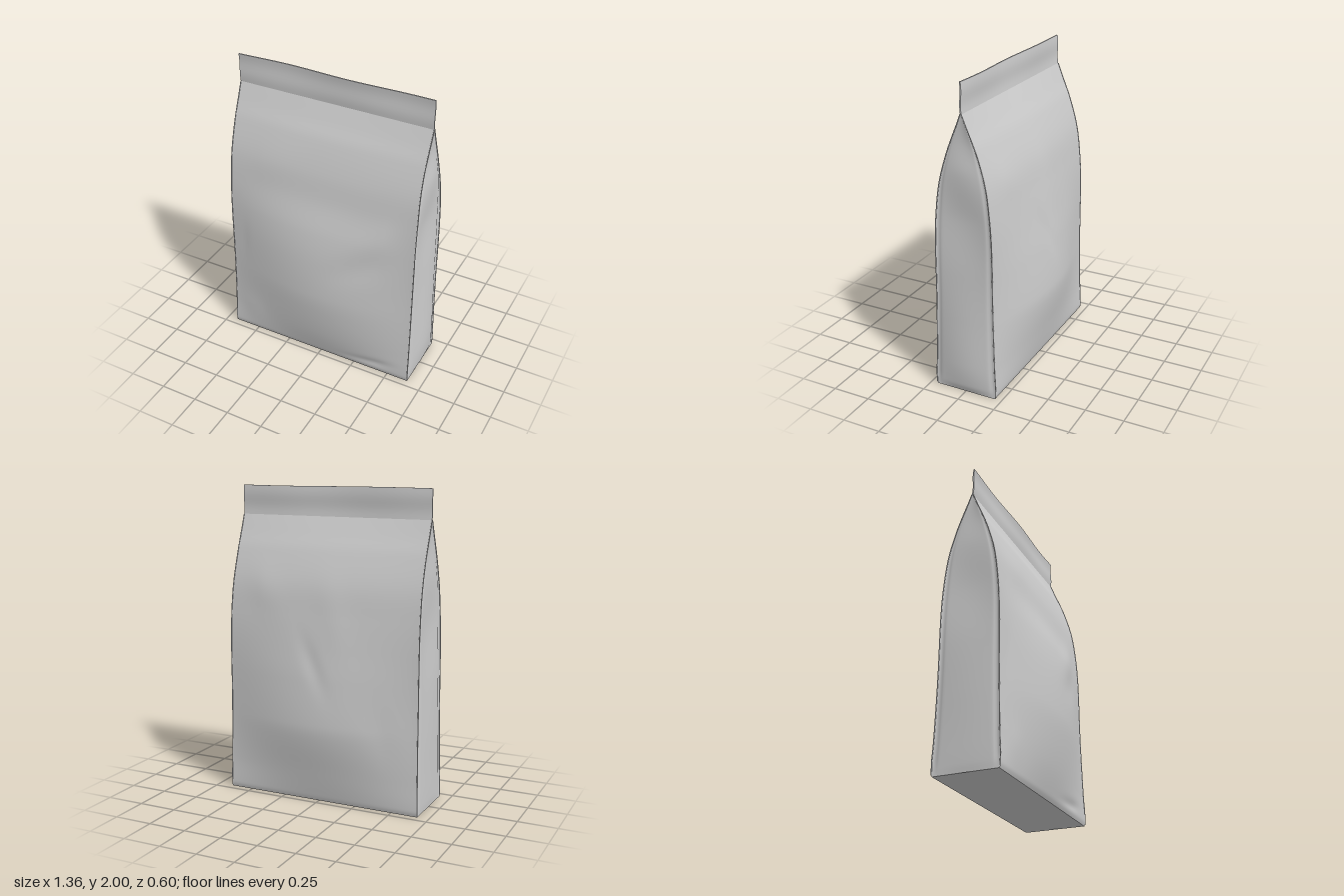
import * as THREE from 'three';

const material = new THREE.MeshStandardMaterial({ color: 0xcccccc, side: THREE.DoubleSide });
const SEAL_Y = 1.81;

// Smooth curve through [y, value] knots
function profile(knots) {
  const slope = (i) => {
    const a = knots[Math.max(i - 1, 0)], b = knots[Math.min(i + 1, knots.length - 1)];
    return (b[1] - a[1]) / (b[0] - a[0]);
  };
  return (y) => {
    let i = 0;
    while (i < knots.length - 2 && y > knots[i + 1][0]) i++;
    const [y0, v0] = knots[i], [y1, v1] = knots[i + 1];
    const h = y1 - y0, t = THREE.MathUtils.clamp((y - y0) / h, 0, 1), s = 1 - t;
    return v0 * (1 + 2 * t) * s * s + slope(i) * h * t * s * s
      + v1 * t * t * (3 - 2 * t) - slope(i + 1) * h * t * t * s;
  };
}

// Half depth at the side seams and at the middle of each panel
const edgeDepth = profile([[0, 0.205], [0.03, 0.212], [0.2, 0.204], [0.6, 0.194], [1.0, 0.19],
  [1.2, 0.178], [1.4, 0.15], [1.6, 0.09], [1.7, 0.048], [SEAL_Y, 0.004]]);
const frontDepth = profile([[0, 0.205], [0.03, 0.22], [0.2, 0.262], [0.4, 0.291], [0.55, 0.299],
  [0.8, 0.284], [1.0, 0.252], [1.2, 0.198], [1.4, 0.16], [1.6, 0.1], [1.7, 0.053], [SEAL_Y, 0.004]]);
const backDepth = profile([[0, 0.205], [0.03, 0.215], [0.2, 0.25], [0.4, 0.288], [0.52, 0.297],
  [0.8, 0.272], [1.0, 0.242], [1.2, 0.21], [1.4, 0.175], [1.6, 0.106], [1.7, 0.058], [SEAL_Y, 0.004]]);

// Side seam positions, and how far each gusset puffs out between its seams
const leftEdge = profile([[0, 0.648], [0.6, 0.645], [1.2, 0.645], [1.55, 0.638], [SEAL_Y, 0.642]]);
const rightEdge = profile([[0, -0.676], [0.4, -0.668], [1.0, -0.664], [1.5, -0.661], [SEAL_Y, -0.661]]);
const leftPuff = profile([[0, 0], [0.05, 0.018], [0.2, 0.03], [0.5, 0.02], [0.8, 0.004],
  [1.15, -0.014], [1.45, 0.012], [1.65, -0.006], [SEAL_Y, 0]]);
const rightPuff = profile([[0, 0], [0.05, 0.004], [0.2, 0.007], [0.5, 0.01], [0.8, 0.005],
  [1.15, -0.012], [1.45, 0], [1.65, -0.006], [SEAL_Y, 0]]);

// Soft oval ridge or dent, turned by an angle
function bump(x, y, cx, cy, length, width, angle) {
  const c = Math.cos(angle), s = Math.sin(angle), dx = x - cx, dy = y - cy;
  return Math.exp(-(((dx * c + dy * s) / length) ** 2) - ((dy * c - dx * s) / width) ** 2);
}
const frontFolds = (x, y) =>
  0.009 * bump(x, y, 0.36, 1.04, 0.24, 0.1, 0.7) - 0.007 * bump(x, y, 0.32, 0.84, 0.22, 0.1, 0.5)
  - 0.008 * bump(x, y, 0.4, 0.07, 0.18, 0.03, 0.1) + 0.006 * bump(x, y, -0.55, 0.18, 0.1, 0.1, 0)
  - 0.006 * bump(x, y, -0.58, 0.75, 0.14, 0.04, 1.5) + 0.004 * bump(x, y, -0.35, 1.4, 0.2, 0.12, 0.6);
const backFolds = (x, y) =>
  -0.008 * bump(x, y, 0.02, 0.9, 0.18, 0.05, 1.1) + 0.005 * bump(x, y, -0.1, 1.2, 0.25, 0.1, 1.3)
  + 0.006 * bump(x, y, 0.4, 1.35, 0.2, 0.12, 0.8) - 0.004 * bump(x, y, -0.45, 0.5, 0.2, 0.1, 1.2);

// Grid sheet whose points come from rule(u, v), u and v in 0..1
function sheet(name, nu, nv, rule) {
  const geometry = new THREE.PlaneGeometry(1, 1, nu, nv);
  const p = geometry.attributes.position;
  for (let i = 0; i < p.count; i++) p.setXYZ(i, ...rule(p.getX(i) + 0.5, p.getY(i) + 0.5));
  geometry.computeVertexNormals();
  const mesh = new THREE.Mesh(geometry, material);
  mesh.name = name;
  return mesh;
}

// Broad bulging face; side is +1 for front and -1 for back
function panel(name, side, depth, folds) {
  return sheet(name, 64, 90, (u, v) => {
    const y = SEAL_Y * v ** 1.2, t = side > 0 ? u : 1 - u;
    const x = THREE.MathUtils.lerp(rightEdge(y), leftEdge(y), t);
    const bulge = Math.sin(Math.PI * t) ** 1.15;
    const fade = Math.min(1, 6 * t, 6 * (1 - t), y / 0.06, (SEAL_Y - y) / 0.2);
    const z = THREE.MathUtils.lerp(edgeDepth(y), depth(y), bulge) + folds(x, y) * fade;
    return [x, y, side * z];
  });
}

// Narrow side wall, tucked in just beside each seam so the panel edges stand out as fins
function gusset(name, side, edge, puff) {
  return sheet(name, 36, 90, (u, v) => {
    const y = SEAL_Y * v ** 1.2, w = 1 - 2 * u, a = Math.abs(w);
    const tuck = 0.008 * Math.exp(-(((a - 0.92) / 0.07) ** 2)) * Math.min(1, 12 * (1 - a))
      * Math.min(1, y / 0.08, (SEAL_Y - y) / 0.5);
    const out = puff(y) * Math.cos(w * Math.PI / 2) - tuck;
    return [edge(y) + side * out, y, side * w * edgeDepth(y)];
  });
}

// Thin welt where a gusset meets a panel
function seam(name, edge, side) {
  const points = [];
  for (let i = 0; i <= 24; i++) {
    const y = 0.01 + (SEAL_Y - 0.01) * i / 24;
    points.push(new THREE.Vector3(edge(y), y, side * edgeDepth(y)));
  }
  const mesh = new THREE.Mesh(
    new THREE.TubeGeometry(new THREE.CatmullRomCurve3(points), 72, 0.003, 6), material);
  mesh.name = name;
  return mesh;
}

// Flat pressed strip along the top, gently rippled
function topSeal() {
  const x0 = rightEdge(SEAL_Y), x1 = leftEdge(SEAL_Y), height = 2 - SEAL_Y;
  const geometry = new THREE.BoxGeometry(x1 - x0, height, 0.008, 48, 8, 1);
  geometry.translate((x0 + x1) / 2, SEAL_Y + height / 2, 0);
  const p = geometry.attributes.position;
  for (let i = 0; i < p.count; i++) {
    const x = p.getX(i), t = (p.getY(i) - SEAL_Y) / height;
    p.setZ(i, p.getZ(i) + t * (0.003 + 0.005 * Math.sin(8 * x + 1)) + 0.003 * Math.sin(2 * Math.PI * t));
    p.setY(i, p.getY(i) - 0.004 * t * (0.5 + 0.5 * Math.sin(5 * x)));
  }
  geometry.computeVertexNormals();
  const mesh = new THREE.Mesh(geometry, material);
  mesh.name = 'topSeal';
  return mesh;
}

export function createModel() {
  const bag = new THREE.Group();
  bag.name = 'bag';
  bag.add(
    panel('frontPanel', 1, frontDepth, frontFolds),
    panel('backPanel', -1, backDepth, backFolds),
    gusset('leftGusset', 1, leftEdge, leftPuff),
    gusset('rightGusset', -1, rightEdge, rightPuff),
    topSeal(),
    // Base with a faint crease along its middle
    sheet('base', 32, 24, (u, v) => [
      THREE.MathUtils.lerp(rightEdge(0), leftEdge(0), u),
      0.005 * Math.max(0, 1 - Math.abs(2 * v - 1) * 6),
      (2 * v - 1) * edgeDepth(0),
    ]),
  );
  for (const [label, edge] of [['left', leftEdge], ['right', rightEdge]]) {
    bag.add(seam(label + 'FrontSeam', edge, 1), seam(label + 'BackSeam', edge, -1));
  }
  return bag;
}
